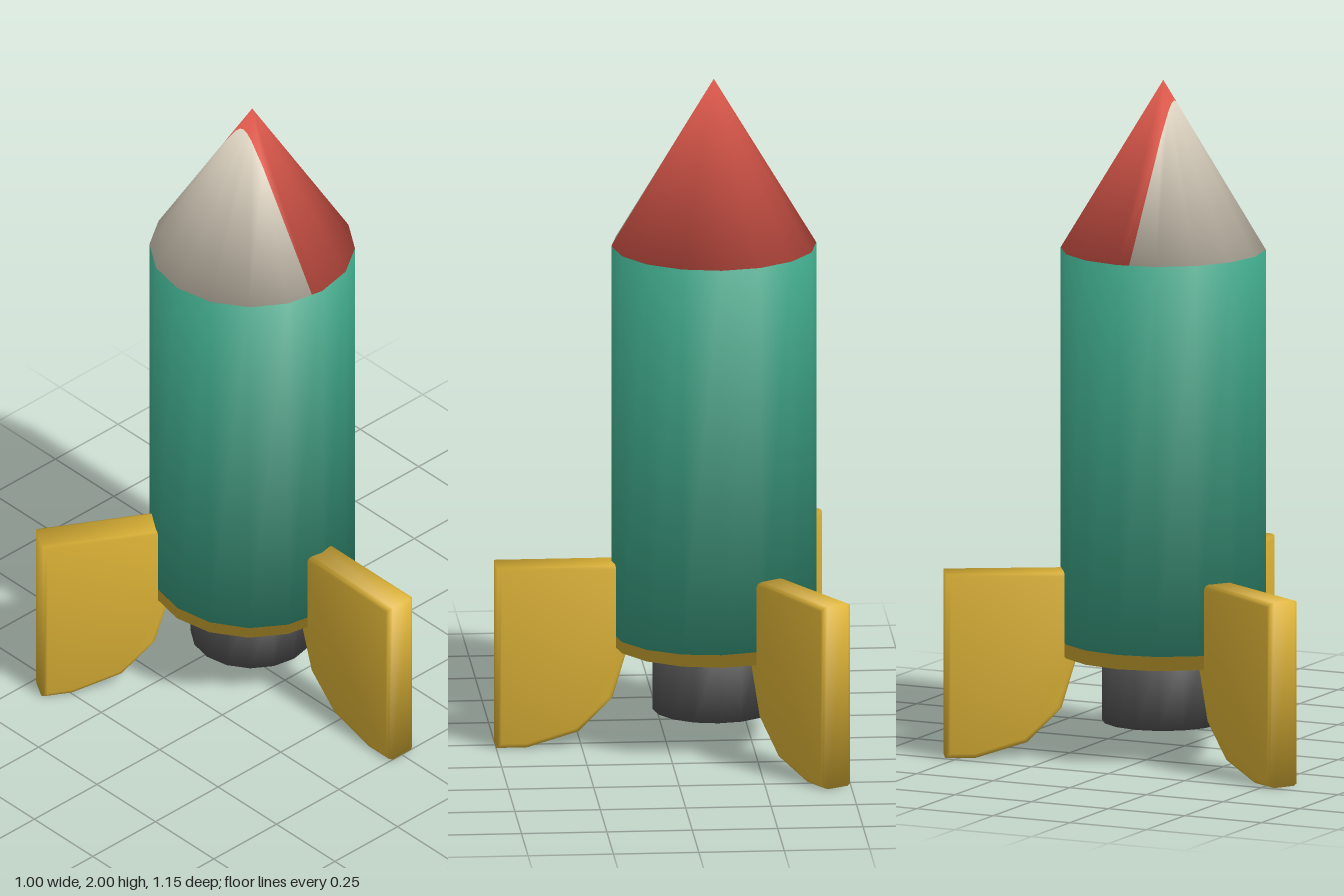
import * as THREE from 'three';

const paint = (name, color) => Object.assign(new THREE.MeshStandardMaterial({ color }), { name });

// Smooth every edge: angle-weighted normals shared by all corners at one position
function smooth(source) {
  const geo = source.index ? source.toNonIndexed() : source;
  const pos = geo.attributes.position;
  const sums = new Map();
  const point = (i) => new THREE.Vector3().fromBufferAttribute(pos, i);
  const key = (i) => [pos.getX(i), pos.getY(i), pos.getZ(i)].map((v) => Math.round(v * 1e4)).join();
  for (let i = 0; i < pos.count; i += 3) {
    const p = [point(i), point(i + 1), point(i + 2)];
    const face = p[1].clone().sub(p[0]).cross(p[2].clone().sub(p[0]));
    if (face.length() < 1e-10) continue;
    face.normalize();
    for (let k = 0; k < 3; k++) {
      const a = p[(k + 1) % 3].clone().sub(p[k]);
      const b = p[(k + 2) % 3].clone().sub(p[k]);
      const id = key(i + k);
      if (!sums.has(id)) sums.set(id, new THREE.Vector3());
      sums.get(id).addScaledVector(face, a.angleTo(b));
    }
  }
  const normals = [];
  for (let i = 0; i < pos.count; i++) {
    const n = (sums.get(key(i)) || new THREE.Vector3(0, 1, 0)).clone().normalize();
    normals.push(n.x, n.y, n.z);
  }
  geo.setAttribute('normal', new THREE.Float32BufferAttribute(normals, 3));
  return geo;
}

// Keep the part of a geometry where side(x, y, z) >= 0, with its smooth normals
function clip(geo, side) {
  const P = geo.attributes.position, N = geo.attributes.normal;
  const positions = [], normals = [];
  for (let i = 0; i < P.count; i += 3) {
    const tri = [i, i + 1, i + 2].map((j) =>
      [P.getX(j), P.getY(j), P.getZ(j), N.getX(j), N.getY(j), N.getZ(j)]);
    const kept = [];
    tri.forEach((a, k) => {
      const b = tri[(k + 1) % 3];
      const da = side(...a), db = side(...b);
      if (da >= 0) kept.push(a);
      if ((da >= 0) !== (db >= 0)) kept.push(a.map((v, c) => v + (b[c] - v) * da / (da - db)));
    });
    for (let k = 1; k + 1 < kept.length; k++) {
      for (const v of [kept[0], kept[k], kept[k + 1]]) {
        positions.push(...v.slice(0, 3));
        normals.push(...v.slice(3));
      }
    }
  }
  const out = new THREE.BufferGeometry();
  out.setAttribute('position', new THREE.Float32BufferAttribute(positions, 3));
  out.setAttribute('normal', new THREE.Float32BufferAttribute(normals, 3));
  return out;
}

export function createModel() {
  const teal = paint('teal', 0x3b9f82);
  const red = paint('red', 0xe05a4d);
  const cream = paint('cream', 0xe0d6c4);
  const gold = paint('gold', 0xdcb236);
  const grey = paint('darkGrey', 0x505050);

  const model = new THREE.Group();
  model.name = 'rocket';
  const rocket = new THREE.Group();
  rocket.name = 'rocketBody';
  rocket.position.x = -0.14;
  model.add(rocket);

  const add = (name, geometry, material) => {
    const mesh = new THREE.Mesh(geometry, material);
    mesh.name = name;
    rocket.add(mesh);
    return mesh;
  };

  // Hull with a narrow gold rim and gold underside
  const hull = smooth(new THREE.CylinderGeometry(0.3, 0.3, 1.2, 16).translate(0, 0.9, 0));
  const aboveRim = (x, y) => y + 0.015 * x - 0.338;
  add('hull', clip(hull, aboveRim), teal);
  add('hullRim', clip(hull, (x, y) => -aboveRim(x, y)), gold);

  // Two-tone nose cone, split by an upright plane just ahead of the axis
  const nose = smooth(new THREE.ConeGeometry(0.3, 0.5, 16).translate(0, 1.75, 0));
  add('noseFront', clip(nose, (x, y, z) => z - 0.035), cream);
  add('noseBack', clip(nose, (x, y, z) => 0.035 - z), red);

  // Engine nozzle
  add('nozzle', smooth(new THREE.CylinderGeometry(0.18, 0.18, 0.22, 16).translate(0, 0.21, 0)), grey);

  // Three rounded fins
  const profile = [[0.64, 0], [0.64, 0.55], [0.22, 0.55], [0.24, 0.34], [0.26, 0.28],
    [0.3, 0.145], [0.4, 0.045], [0.55, 0]];
  const bevel = 0.015;
  const finGeometry = smooth(new THREE.ExtrudeGeometry(
    new THREE.Shape(profile.map(([r, y]) => new THREE.Vector2(r, y))),
    { depth: 0.1 - 2 * bevel, bevelThickness: bevel, bevelSize: bevel, bevelOffset: -bevel, bevelSegments: 2 },
  ).translate(0, 0, bevel - 0.05));
  ['leftFin', 'backRightFin', 'frontRightFin'].forEach((name, i) => {
    add(name, finGeometry, gold).rotation.y = i * Math.PI * 2 / 3;
  });

  return model;
}
